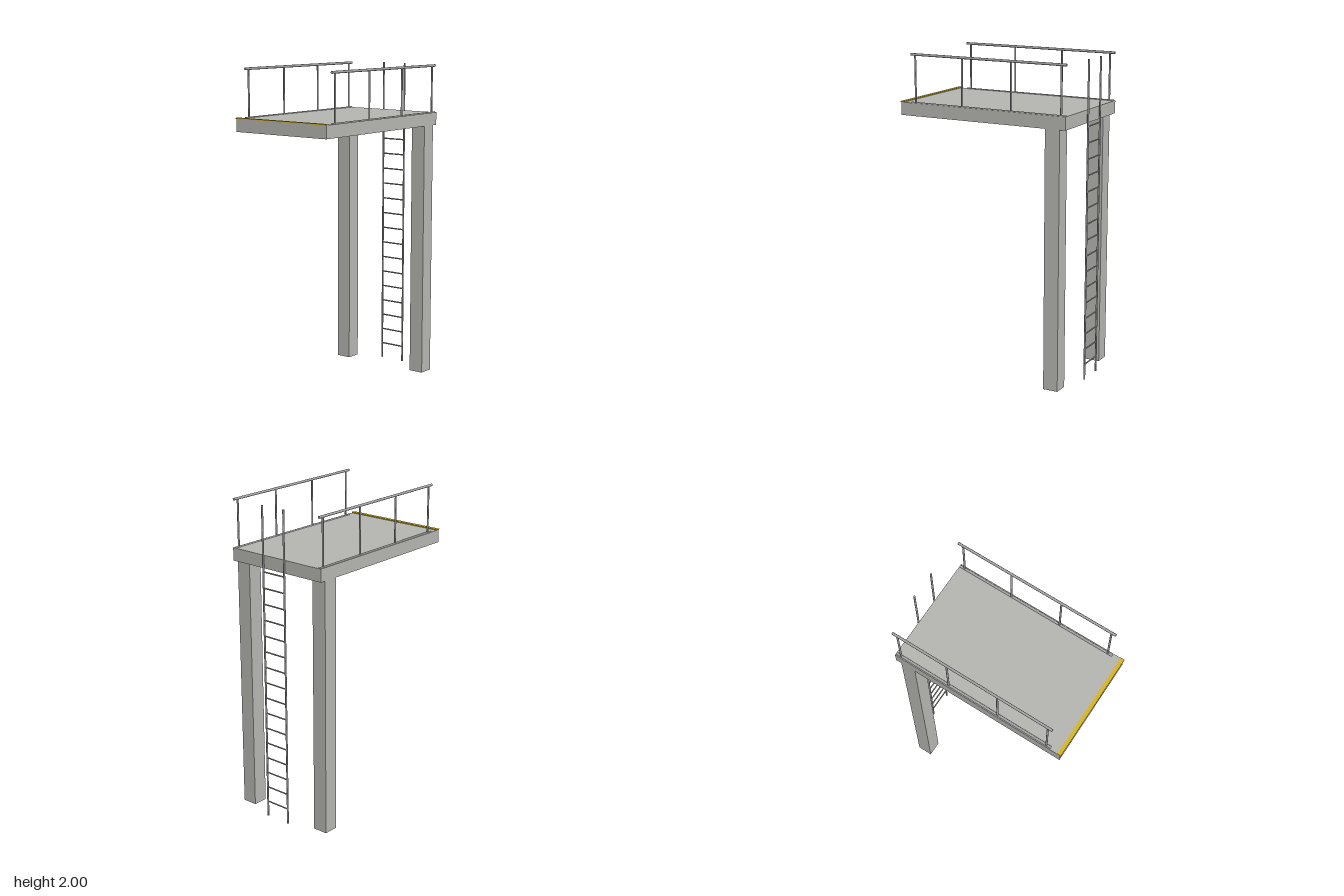
import * as THREE from 'three';

export function createModel() {
  const model = new THREE.Group();
  model.name = 'divingPlatform';
  const concrete = new THREE.MeshStandardMaterial({ name: 'concrete', color: 0xb4b4b0 });
  const steel = new THREE.MeshStandardMaterial({ name: 'steel', color: 0xa4a4a4 });
  const yellow = new THREE.MeshStandardMaterial({ name: 'yellow', color: 0xd4b428 });

  // Box given by its minimum and maximum corners
  function box(name, min, max, material, parent = model) {
    const size = max.map((v, i) => v - min[i]);
    const mesh = new THREE.Mesh(new THREE.BoxGeometry(...size), material);
    mesh.position.set(...max.map((v, i) => (v + min[i]) / 2));
    mesh.name = name;
    parent.add(mesh);
  }

  // Round bar between two points
  function bar(name, from, to, radius, parent) {
    const a = new THREE.Vector3(...from);
    const b = new THREE.Vector3(...to);
    const dir = b.clone().sub(a);
    const mesh = new THREE.Mesh(new THREE.CylinderGeometry(radius, radius, dir.length(), 10), steel);
    mesh.position.copy(a).add(b).multiplyScalar(0.5);
    mesh.quaternion.setFromUnitVectors(new THREE.Vector3(0, 1, 0), dir.normalize());
    mesh.name = name;
    parent.add(mesh);
  }

  // Deck slab and its painted front edge
  box('deck', [-0.347, 1.615, -0.555], [0.347, 1.695, 0.574], concrete);
  box('edgeStripe', [-0.347, 1.694, 0.555], [0.347, 1.701, 0.58], yellow);

  for (const side of [-1, 1]) {
    const sideName = side > 0 ? 'left' : 'right';

    // Supporting column
    const x = side * 0.299;
    box(sideName + 'Column', [x - 0.048, 0, -0.518], [x + 0.048, 1.615, -0.422], concrete);

    // Guard rail with four posts
    const railing = new THREE.Group();
    railing.name = sideName + 'Railing';
    model.add(railing);
    const rx = side * 0.333;
    bar('handRail', [rx, 1.992, -0.553], [rx, 1.992, 0.505], 0.008, railing);
    bar('footRail', [rx, 1.693, -0.553], [rx, 1.693, 0.505], 0.008, railing);
    for (const z of [-0.52, -0.19, 0.145, 0.475]) {
      bar('railPost', [rx, 1.69, z], [rx, 1.99, z], 0.006, railing);
    }
  }

  // Ladder behind the deck
  const ladder = new THREE.Group();
  ladder.name = 'ladder';
  model.add(ladder);
  for (const x of [-0.083, 0.083]) {
    bar('ladderRail', [x, 0, -0.574], [x, 2, -0.574], 0.006, ladder);
  }
  for (let i = 1; i <= 16; i++) {
    bar('rung', [-0.083, i * 0.1, -0.574], [0.083, i * 0.1, -0.574], 0.0045, ladder);
  }
  return model;
}
